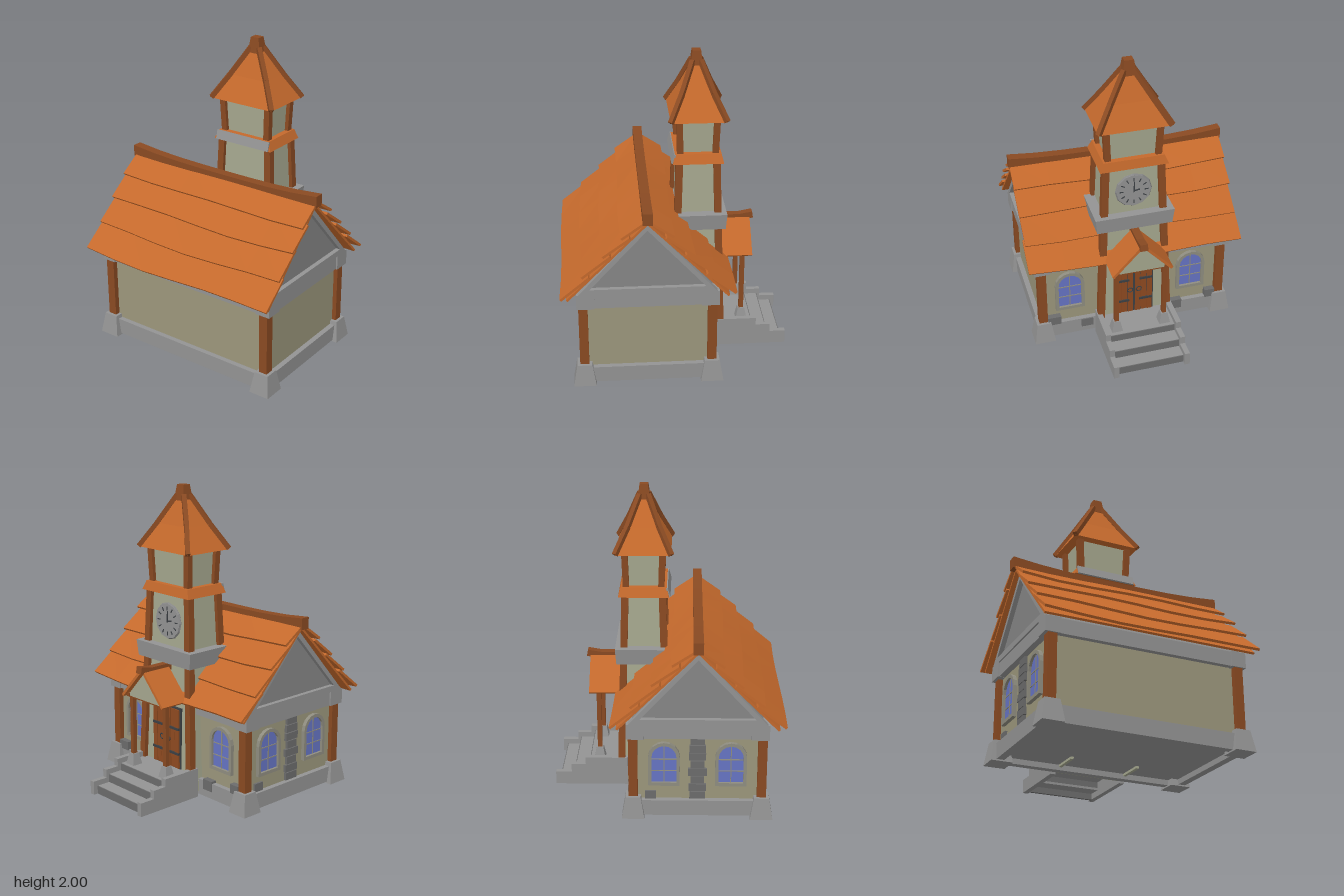
import * as THREE from 'three';

const mat = (color) => new THREE.MeshStandardMaterial({ color, flatShading: true, side: THREE.DoubleSide });
const M = {
  roof: mat(0xc4692c), wood: mat(0x8a4a22), door: mat(0x8f4a20), wall: mat(0x9c977c), tower: mat(0xa6a88f),
  stone: mat(0x939393), dark: mat(0x6c6c6c), gable: mat(0x868686), iron: mat(0x3c4044), glass: mat(0x6674c4), frame: mat(0x8f8d80),
};
const RX = -0.2;              // ridge line of the main roof
const TX = 0.147, TZ = 0.012; // tower axis
const UP = new THREE.Vector3(0, 1, 0);

function add(parent, name, geo, material) {
  const m = new THREE.Mesh(geo, material);
  m.name = name;
  parent.add(m);
  return m;
}

// Box given by its limits on each axis
function block(p, name, material, x0, x1, y0, y1, z0, z1) {
  const m = add(p, name, new THREE.BoxGeometry(x1 - x0, y1 - y0, z1 - z0), material);
  m.position.set((x0 + x1) / 2, (y0 + y1) / 2, (z0 + z1) / 2);
  return m;
}

// Four-sided tapered block from [height, half x, half z] at its bottom and top
function frustum(p, name, material, x, z, [y0, hx0, hz0], [y1, hx1, hz1]) {
  const g = new THREE.BoxGeometry(2, 1, 2), a = g.attributes.position;
  for (let i = 0; i < a.count; i++) {
    const top = a.getY(i) > 0;
    a.setXYZ(i, a.getX(i) * (top ? hx1 : hx0), top ? y1 : y0, a.getZ(i) * (top ? hz1 : hz0));
  }
  g.computeVertexNormals();
  const m = add(p, name, g, material);
  m.position.set(x, 0, z);
  return m;
}

// Leaning post with level ends and sides kept square to the walls
function leaningPost(p, name, material, a, b, w) {
  const g = new THREE.BoxGeometry(w, 1, w), v = g.attributes.position;
  for (let i = 0; i < v.count; i++) {
    const c = v.getY(i) > 0 ? b : a;
    v.setXYZ(i, v.getX(i) + c[0], c[1], v.getZ(i) + c[2]);
  }
  g.computeVertexNormals();
  return add(p, name, g, material);
}

// Square timber between two points
function timber(p, name, material, a, b, w, d = w) {
  const va = new THREE.Vector3(...a), vb = new THREE.Vector3(...b);
  const m = add(p, name, new THREE.BoxGeometry(w, d, va.distanceTo(vb)), material);
  m.quaternion.setFromRotationMatrix(new THREE.Matrix4().lookAt(vb, va, UP));
  m.position.copy(va).add(vb).multiplyScalar(0.5);
  return m;
}

function extrude(p, name, material, pts, depth, hole) {
  const s = new THREE.Shape(pts.map(([x, y]) => new THREE.Vector2(x, y)));
  if (hole) s.holes.push(new THREE.Path(hole.map(([x, y]) => new THREE.Vector2(x, y))));
  return add(p, name, new THREE.ExtrudeGeometry(s, { depth, bevelEnabled: false }), material);
}

// Warped roof board running along z, from its upper to its lower edge
function roofBoard(p, upper, lower, len, seed) {
  const dx = lower[0] - upper[0], dy = lower[1] - upper[1];
  const g = new THREE.BoxGeometry(Math.hypot(dx, dy), 0.016, len, 1, 1, 6);
  if (dx < 0) g.rotateY(Math.PI);
  g.rotateZ(dx < 0 ? Math.atan2(-dy, -dx) : Math.atan2(dy, dx));
  g.translate((upper[0] + lower[0]) / 2, (upper[1] + lower[1]) / 2, 0);
  const a = g.attributes.position;
  for (let i = 0; i < a.count; i++) {
    const t = a.getZ(i) / (len / 2);
    const low = Math.abs(a.getX(i) - upper[0]) > Math.abs(dx) / 2 ? 1 : 0.3;
    a.setX(i, a.getX(i) + low * 0.007 * Math.sin(3 * t + seed));
    a.setY(i, a.getY(i) + low * (0.012 * t * t + 0.007 * Math.sin(4 * t + seed * 1.7)));
    a.setZ(i, a.getZ(i) * (1 + 0.006 * Math.sin(seed * 2.3)));
  }
  g.computeVertexNormals();
  add(p, 'roofBoard', g, M.roof);
}

// Arched outline with its foot at y0
function arch(w, h, y0 = 0) {
  const r = w / 2, pts = [[-r, y0], [r, y0]];
  for (let i = 0; i <= 8; i++) pts.push([r * Math.cos(i * Math.PI / 8), h - r + r * Math.sin(i * Math.PI / 8)]);
  return pts;
}

function archedWindow(p, x, z, turn) {
  const w = new THREE.Group();
  w.name = 'window';
  extrude(w, 'windowFrame', M.frame, arch(0.198, 0.3), 0.025, arch(0.156, 0.278, 0.022));
  extrude(w, 'windowGlass', M.glass, arch(0.163, 0.28, 0.018), 0.008);
  block(w, 'windowBar', M.frame, -0.003, 0.003, 0.02, 0.275, 0.006, 0.012);
  for (const y of [0.1, 0.18]) block(w, 'windowBar', M.frame, -0.078, 0.078, y - 0.003, y + 0.003, 0.006, 0.012);
  w.position.set(x, 0.214, z);
  w.rotation.y = turn;
  p.add(w);
}

function buildHouse() {
  const g = new THREE.Group();
  g.name = 'house';
  // Foundation rim around a recessed floor
  block(g, 'floor', M.stone, -0.6, 0.2, 0.045, 0.11, -0.62, 0.62);
  for (const s of [-1, 1]) {
    block(g, 'foundation', M.stone, -0.635, 0.23, 0.01, 0.115, s * 0.63 - 0.025, s * 0.63 + 0.025);
    block(g, 'foundation', M.stone, RX + s * 0.408 - 0.025, RX + s * 0.408 + 0.025, 0.01, 0.115, -0.63, 0.63);
  }
  block(g, 'walls', M.wall, -0.6, 0.2, 0.1, 0.58, -0.62, 0.62);
  block(g, 'eaveBeam', M.stone, -0.635, 0.235, 0.55, 0.645, -0.66, 0.66);
  for (const x of [-0.605, 0.205]) for (const z of [-0.62, 0.62]) {
    frustum(g, 'cornerStone', M.stone, x, z, [0, 0.072, 0.07], [0.14, 0.048, 0.048]);
    block(g, 'cornerPost', M.wood, x - 0.029, x + 0.029, 0.13, 0.56, z - 0.029, z + 0.029);
    const cx = x < 0 ? -0.588 : 0.19;
    block(g, 'beamEnd', M.stone, cx - 0.056, cx + 0.056, 0.548, 0.648, z - 0.05, z + 0.05);
  }
  // Gables
  const attic = extrude(g, 'gablePanel', M.gable, [[-0.61, 0.645], [0.21, 0.645], [RX, 1.08]], 1.28);
  attic.position.z = -0.64;
  for (const z of [-0.67, 0.635]) {
    extrude(g, 'gableFrame', M.stone, [[-0.635, 0.645], [0.235, 0.645], [RX, 1.125]], 0.035,
      [[-0.56, 0.685], [RX, 1.08], [0.16, 0.685]]).position.z = z;
  }
  // Overlapping roof boards on a plain underlayer
  const d = [0, 0.16, 0.28, 0.41, 0.54], y = [1.15, 1.04, 0.915, 0.775, 0.637];
  for (const s of [-1, 1]) {
    timber(g, 'roofUnderlayer', M.roof, [RX, 1.14, 0], [RX + s * 0.5, 0.63, 0], 1.4, 0.014);
    for (let i = 0; i < 4; i++) {
      const u = Math.max(0, d[i] - 0.05);
      roofBoard(g, [RX + s * u, 1.158 - u * 1.02], [RX + s * d[i + 1], y[i + 1]], 1.43, i + 3 * s);
    }
  }
  // Ridge beam with raised ends
  const ridge = new THREE.BoxGeometry(0.062, 0.075, 1.45, 1, 1, 8), a = ridge.attributes.position;
  for (let i = 0; i < a.count; i++) a.setY(i, a.getY(i) + 0.03 * Math.pow(Math.abs(a.getZ(i)) / 0.725, 3));
  ridge.computeVertexNormals();
  add(g, 'ridgeBeam', ridge, M.wood).position.set(RX, 1.145, -0.003);
  // Windows and exposed stones
  for (const z of [0.43, -0.413]) archedWindow(g, 0.2, z, Math.PI / 2);
  for (const x of [0.01, -0.41]) archedWindow(g, x, -0.62, Math.PI);
  for (let i = 0; i < 8; i++) {
    const w = 0.05 + 0.009 * Math.sin(i * 2.6);
    block(g, 'wallStone', M.dark, RX - w, RX + w, 0.12 + i * 0.054, 0.169 + i * 0.054, -0.638, -0.61);
  }
  for (const [z0, z1, y0, y1] of [[0.5, 0.59, 0.11, 0.17], [-0.59, -0.52, 0.11, 0.17], [0.26, 0.33, 0.56, 0.61], [-0.35, -0.27, 0.06, 0.13], [0.28, 0.36, 0.05, 0.11]])
    block(g, 'wallStone', M.dark, 0.18, 0.24, y0, y1, z0, z1);
  block(g, 'wallStone', M.dark, 0.06, 0.13, 0.11, 0.17, -0.635, -0.6);
  return g;
}

function buildTower() {
  const g = new THREE.Group();
  g.name = 'tower';
  g.position.set(TX, 0, TZ);
  // Wall feet showing below the floor
  for (const s of [-1, 1]) block(g, 'wallFoot', M.tower, -0.15, 0.15, 0.03, 0.1, s * 0.225 - 0.01, s * 0.225 + 0.01);
  block(g, 'wallFoot', M.tower, 0.13, 0.15, 0.03, 0.1, -0.23, 0.23);
  frustum(g, 'towerWalls', M.tower, 0, 0, [0.08, 0.15, 0.232], [1.345, 0.118, 0.178]);
  frustum(g, 'belfryWalls', M.tower, 0, 0, [1.34, 0.108, 0.158], [1.61, 0.116, 0.168]);
  for (const sx of [-1, 1]) for (const sz of [-1, 1]) {
    leaningPost(g, 'towerPost', M.wood, [sx * 0.157, 0.05, sz * 0.235], [sx * 0.118, 1.345, sz * 0.179], 0.046);
    leaningPost(g, 'belfryPost', M.wood, [sx * 0.111, 1.34, sz * 0.163], [sx * 0.12, 1.62, sz * 0.176], 0.04);
  }
  // Bands round the tower
  frustum(g, 'stoneBand', M.stone, 0, 0, [0.87, 0.177, 0.25], [0.975, 0.185, 0.262]);
  frustum(g, 'woodBand', M.roof, 0, 0, [1.315, 0.162, 0.222], [1.375, 0.147, 0.197]);
  timber(g, 'bandBoard', M.stone, [-0.156, 1.345, -0.205], [-0.156, 1.345, 0.205], 0.012, 0.062).rotation.z = -0.28;
  // Flared pyramid roof with hip beams and a cap
  const steps = [[1.595, 0.175, 0.234], [1.75, 0.098, 0.138], [1.93, 0.024, 0.03]];
  for (let i = 0; i < 2; i++) {
    frustum(g, 'towerRoof', M.roof, 0, 0, steps[i], steps[i + 1]);
    const [y0, x0, z0] = steps[i], [y1, x1, z1] = steps[i + 1];
    for (const sx of [-1, 1]) for (const sz of [-1, 1])
      timber(g, 'hipBeam', M.wood, [sx * x0, y0 + 0.005, sz * z0], [sx * x1, y1 + 0.005, sz * z1], 0.03);
  }
  frustum(g, 'roofCap', M.wood, 0, 0, [1.9, 0.04, 0.045], [2, 0.027, 0.03]);
  // Clock
  const clock = new THREE.Group();
  clock.name = 'clock';
  add(clock, 'clockFace', new THREE.CylinderGeometry(0.115, 0.115, 0.02, 12).rotateX(Math.PI / 2), M.stone);
  add(clock, 'clockRim', new THREE.TorusGeometry(0.115, 0.007, 4, 12).rotateZ(Math.PI / 2), M.gable);
  for (let i = 0; i < 12; i++) {
    const t = i * Math.PI / 6, c = Math.cos(t), s = Math.sin(t);
    timber(clock, 'hourMark', M.iron, [0.07 * c, 0.07 * s, 0.011], [0.095 * c, 0.095 * s, 0.011], 0.006);
  }
  timber(clock, 'minuteHand', M.iron, [0, -0.01, 0.013], [0.004, 0.065, 0.013], 0.006);
  timber(clock, 'hourHand', M.iron, [0, 0, 0.013], [0.04, 0.006, 0.013], 0.007);
  clock.position.set(0.131, 1.138, 0);
  clock.rotation.y = Math.PI / 2;
  g.add(clock);
  // Double door
  block(g, 'doorFrame', M.iron, 0.13, 0.153, 0.16, 0.58, -0.134, 0.134);
  for (const s of [-1, 1]) {
    for (let i = 0; i < 3; i++) {
      const z = s * (0.026 + i * 0.04);
      block(g, 'doorPlank', M.door, 0.14, 0.163 - 0.003 * (i % 2), 0.17, 0.57, z - 0.018, z + 0.018);
    }
    for (const y of [0.27, 0.44]) block(g, 'doorHinge', M.iron, 0.15, 0.168, y - 0.008, y + 0.008, s * 0.08 - 0.045, s * 0.08 + 0.045);
    const ring = add(g, 'doorHandle', new THREE.TorusGeometry(0.018, 0.004, 5, 10), M.iron);
    ring.rotation.y = Math.PI / 2;
    ring.position.set(0.17, 0.36, s * 0.03);
  }
  return g;
}

function buildPorch() {
  const g = new THREE.Group();
  g.name = 'porch';
  g.position.z = TZ;
  // Stepped side walls and open-bottomed stairs
  const side = [[0.26, 0.005], [0.74, 0.005], [0.74, 0.095], [0.635, 0.095], [0.635, 0.15], [0.54, 0.15], [0.54, 0.2], [0.26, 0.2]];
  for (const z of [-0.258, 0.223]) extrude(g, 'stairWall', M.stone, side, 0.035).position.z = z;
  for (const [x0, x1, y] of [[0.24, 0.515, 0.165], [0.49, 0.615, 0.115], [0.59, 0.71, 0.06]]) {
    block(g, 'stairTread', M.stone, x0, x1 - 0.005, y - 0.015, y, -0.23, 0.23);
    block(g, 'stairRiser', M.dark, x1 - 0.02, x1, y - 0.055, y - 0.002, -0.23, 0.23);
  }
  for (const s of [-1, 1]) {
    const z = s * 0.163;
    frustum(g, 'postBase', M.stone, 0.448, z, [0.16, 0.038, 0.038], [0.24, 0.022, 0.022]);
    block(g, 'porchPost', M.wood, 0.433, 0.463, 0.23, 0.65, z - 0.014, z + 0.014);
    timber(g, 'porchBeam', M.wood, [0.29, 0.65, z], [0.49, 0.65, z], 0.022);
    // Roof slope
    const slope = block(g, 'porchRoof', M.roof, 0.3, 0.51, -0.009, 0.009, -0.145, 0.145);
    slope.position.set(0.405, 0.75, s * 0.098);
    slope.rotation.x = s * Math.atan2(0.205, 0.19);
  }
  const gable = extrude(g, 'porchGable', M.tower, [[-0.17, 0.645], [0.17, 0.645], [0, 0.83]], 0.02);
  gable.rotation.y = Math.PI / 2;
  gable.position.x = 0.465;
  timber(g, 'porchTie', M.wood, [0.475, 0.645, -0.185], [0.475, 0.645, 0.185], 0.018);
  timber(g, 'porchRidge', M.wood, [0.28, 0.842, 0], [0.45, 0.842, 0], 0.05, 0.045);
  timber(g, 'porchRidge', M.wood, [0.44, 0.842, 0], [0.53, 0.858, 0], 0.05, 0.045);
  return g;
}

export function createModel() {
  const model = new THREE.Group();
  model.name = 'clockTowerHouse';
  model.add(buildHouse(), buildTower(), buildPorch());
  return model;
}
